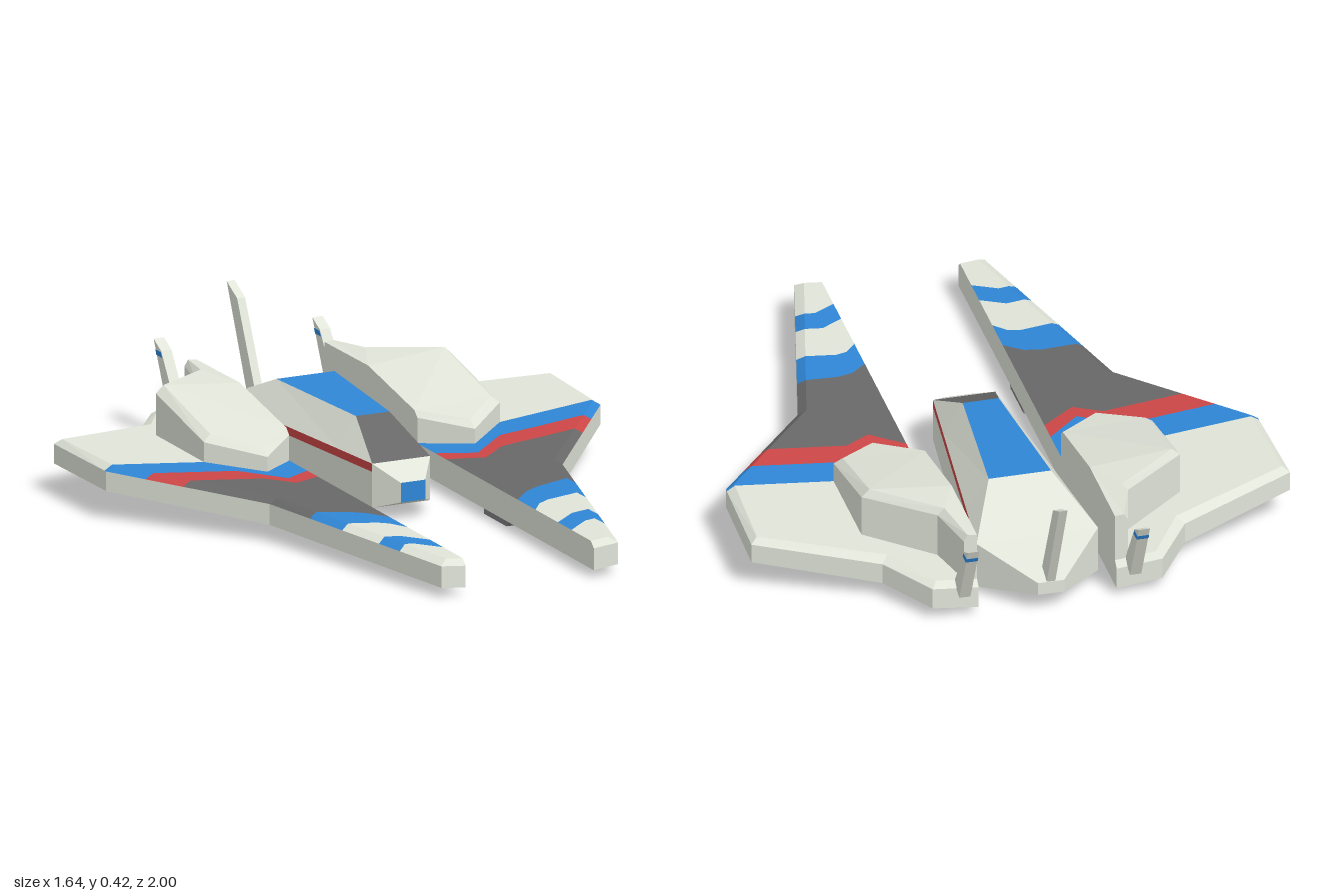
import * as THREE from 'three';

const flat = (name, color) => {
  const m = new THREE.MeshStandardMaterial({ color });
  m.name = name;
  return m;
};

export function createModel() {
  const model = new THREE.Group();
  model.name = 'spacecraft';
  const light = flat('light hull', 0xe0e4d8);
  const dark = flat('dark grey', 0x686868);
  const belly = flat('underside grey', 0x7c7c7c);
  const blue = flat('blue', 0x2f86d6);
  const red = flat('red', 0xcc4646);

  // Triangle list from convex polygons, wound anticlockwise seen from outside
  const fan = polys => polys.flatMap(p => p.slice(2).map((c, i) => [p[0], p[i + 1], c]));

  // Triangles of one near-horizontal polygon of any outline, facing up or down
  const sheet = (pts, up = true) => {
    const flatPts = pts.map(p => new THREE.Vector2(p[0], p[2]));
    return THREE.ShapeUtils.triangulateShape(flatPts, []).map(t => {
      const [a, b, c] = t.map(i => pts[i]);
      const ny = (b[2] - a[2]) * (c[0] - a[0]) - (b[0] - a[0]) * (c[2] - a[2]);
      return (ny > 0) === up ? [a, b, c] : [a, c, b];
    });
  };

  const addMesh = (name, mat, tris) => {
    const solid = tris.filter(([a, b, c]) => new THREE.Triangle(
      new THREE.Vector3(...a), new THREE.Vector3(...b), new THREE.Vector3(...c)).getArea() > 1e-7);
    const g = new THREE.BufferGeometry();
    g.setAttribute('position', new THREE.Float32BufferAttribute(solid.flat(2), 3));
    g.computeVertexNormals();
    const mesh = new THREE.Mesh(g, mat);
    mesh.name = name;
    model.add(mesh);
  };
  const mirrorTris = tris => tris.map(t => t.map(([x, y, z]) => [-x, y, z]).reverse());
  const addPair = (name, mat, tris) => {
    addMesh(name + 'Left', mat, tris);
    addMesh(name + 'Right', mat, mirrorTris(tris));
  };
  const walls = (low, high) => low.map((a, i) => {
    const j = (i + 1) % low.length;
    return [a, low[j], high[j], high[i]];
  });

  // ---- Wings: raised towards the tips, with a bevelled rim ----
  const IN = 0.21;
  const topY = x => 0.107 + 0.1 * (x - IN);
  const rimY = x => topY(x) - 0.018;
  const botY = x => 0.022 + 0.112 * (x - IN);
  const top = ([x, z]) => [x, topY(x), z];
  const rim = ([x, z]) => [x, rimY(x), z];
  const bot = ([x, z]) => [x, botY(x), z];

  // outer rim and inset top edge, from rear to front
  const edge = [
    { o: [0.35, -0.82], t: [0.335, -0.80] },
    { o: [0.46, -0.66], t: [0.44, -0.635] },
    { o: [0.82, -0.51], t: [0.80, -0.495] },
    { o: [0.81, -0.18], t: [0.785, -0.18] },
    { o: [0.48, 0.24], t: [0.455, 0.235] },
    { o: [0.29, 1.0], t: [0.265, 0.98] },
  ];
  const mix = (a, b, f) => a.map((v, i) => v + (b[i] - v) * f);
  const edgeAt = z => {
    const i = Math.max(1, edge.findIndex(e => e.t[1] >= z));
    const a = edge[i - 1], b = edge[i];
    const f = (z - a.t[1]) / (b.t[1] - a.t[1]);
    return { o: mix(a.o, b.o, f), t: mix(a.t, b.t, f) };
  };

  // paint borders: points from the inner edge, then z where the border meets the rim
  const borders = [
    { pts: [[IN, -0.80]], z: -0.80 },
    { pts: [[IN, -0.19]], z: -0.19 },
    { pts: [[IN, -0.06], [0.31, 0.02], [0.43, -0.08]], z: -0.08 },
    { pts: [[IN, 0.01], [0.31, 0.075], [0.39, 0.015]], z: 0.015 },
    { pts: [[IN, 0.49], [0.26, 0.44], [0.31, 0.42]], z: 0.41 },
    { pts: [[IN, 0.61], [0.245, 0.565], [0.28, 0.55]], z: 0.55 },
    { pts: [[IN, 0.76], [0.28, 0.71]], z: 0.71 },
    { pts: [[IN, 0.85], [0.28, 0.80]], z: 0.80 },
    { pts: [[IN, 0.98]], z: 0.98 },
  ];
  [light, blue, red, dark, blue, light, blue, light].forEach((mat, k) => {
    const a = borders[k], b = borders[k + 1];
    const run = [edgeAt(a.z), ...edge.filter(e => e.t[1] > a.z + 1e-6 && e.t[1] < b.z - 1e-6), edgeAt(b.z)];
    const outline = [...a.pts, ...run.map(e => e.t), ...[...b.pts].reverse()];
    const bevel = run.slice(1).map((f, i) => [rim(f.o), rim(run[i].o), top(run[i].t), top(f.t)]);
    addPair('wingBand' + (k + 1), mat, [...sheet(outline.map(top)), ...fan(bevel)]);
  });

  const back = edge[0], front = edge[edge.length - 1];
  const sides = edge.slice(1).map((f, i) => [bot(f.o), bot(edge[i].o), rim(edge[i].o), rim(f.o)]);
  addPair('wingSides', light, fan([
    ...sides,
    [bot(back.o), bot([IN, -0.82]), rim([IN, -0.82]), rim(back.o)],
    [rim(back.o), rim([IN, -0.82]), top([IN, -0.80]), top(back.t)],
    [bot([IN, 1]), bot(front.o), rim(front.o), rim([IN, 1])],
    [rim([IN, 1]), rim(front.o), top(front.t), top([IN, 0.98])],
    [bot([IN, -0.82]), bot([IN, 1]), rim([IN, 1]), top([IN, 0.98]), top([IN, -0.80]), rim([IN, -0.82])],
  ]));
  const split = edgeAt(-0.19).o;
  addPair('wingUndersideRear', light,
    sheet([[IN, -0.82], ...edge.slice(0, 3).map(e => e.o), split, [IN, split[1]]].map(bot), false));
  addPair('wingUndersideFront', belly,
    sheet([[IN, split[1]], split, ...edge.slice(3).map(e => e.o), [IN, 1]].map(bot), false));

  // ---- Engine pods: base, rim and roof rings running nose, outside, rear, inside ----
  const podRim = [
    [0.34, 0.165, -0.06], [0.485, 0.195, -0.19], [0.485, 0.262, -0.51], [0.29, 0.25, -0.65],
    [0.25, 0.24, -0.80], [IN, 0.24, -0.80], [IN, 0.24, -0.51], [IN, 0.185, -0.18],
  ];
  const podRoof = [
    [0.34, 0.187, -0.09], [0.46, 0.215, -0.20], [0.46, 0.285, -0.51], [0.27, 0.272, -0.65],
    [0.238, 0.26, -0.80], [IN, 0.257, -0.80], [IN, 0.26, -0.51], [IN, 0.203, -0.20],
  ];
  const podBase = podRim.map(([x, , z]) => [x, topY(x) - 0.01, z]);
  addPair('enginePod', light, [
    ...fan([...walls(podBase, podRim), ...walls(podRim, podRoof)]),
    ...sheet([0, 1, 2, 6, 7].map(i => podRoof[i])),
    ...sheet([2, 3, 4, 5, 6].map(i => podRoof[i])),
  ]);

  // ---- Fuselage: half sections [x, y] of floor, stripe foot, shoulder and roof ----
  const sections = [
    { z: 0.22, p: [[0.04, 0.06], [0.04, 0.11], [0.04, 0.12], [0.04, 0.12]] },
    { z: 0.14, p: [[0.095, 0.03], [0.095, 0.14], [0.095, 0.165], [0.095, 0.165]] },
    { z: -0.05, p: [[0.115, 0.025], [0.115, 0.14], [0.115, 0.165], [0.055, 0.257]] },
    { z: -0.50, p: [[0.163, 0.02], [0.163, 0.14], [0.163, 0.165], [0.095, 0.26]] },
    { z: -0.70, p: [[0.185, 0.02], [0.185, 0.14], [0.185, 0.165], [0.185, 0.165]] },
    { z: -0.86, p: [[0.04, 0.06], [0.04, 0.09], [0.04, 0.10], [0.04, 0.10]] },
  ];
  const at = (k, i, s = 1) => [s * sections[k].p[i][0], sections[k].p[i][1], sections[k].z];
  const roofMats = [light, dark, blue, light, light];
  const hull = [], stripe = [], floor = [];
  for (let k = 0; k < 5; k++) {
    for (let i = 0; i < 3; i++) {
      const quad = [at(k, i), at(k + 1, i), at(k + 1, i + 1), at(k, i + 1)];
      (i === 1 && k > 0 && k < 4 ? stripe : hull).push(quad);
    }
    floor.push([at(k, 0), at(k, 0, -1), at(k + 1, 0, -1), at(k + 1, 0)]);
    addMesh('fuselageRoof' + (k + 1), roofMats[k],
      fan([[at(k, 3, -1), at(k, 3), at(k + 1, 3), at(k + 1, 3, -1)]]));
  }
  addPair('fuselageSide', light, fan(hull));
  addPair('fuselageStripe', red, fan(stripe));
  addMesh('fuselageFloor', light, fan([...floor, [at(5, 0), at(5, 0, -1), at(5, 3, -1), at(5, 3)]]));
  addMesh('noseWindow', blue, fan([[at(0, 0, -1), at(0, 0), at(0, 3), at(0, 3, -1)]]));

  // ---- Belly plate joining the wings ----
  const extrude = (name, mat, pts, depth) => {
    const shape = new THREE.Shape(pts.map(p => new THREE.Vector2(...p)));
    const mesh = new THREE.Mesh(new THREE.ExtrudeGeometry(shape, { depth, bevelEnabled: false }), mat);
    mesh.name = name;
    model.add(mesh);
    return mesh;
  };
  extrude('bellyPlate', light, [[-0.355, 0.04], [-0.355, 0.012], [-IN, 0], [IN, 0],
    [0.355, 0.012], [0.355, 0.04], [IN, 0.025], [-IN, 0.025]], 0.325).position.z = -0.515;

  // ---- Swept tail fins: profile in z and y, extruded across x ----
  const fin = (name, mat, pts, x, w) => {
    const m = extrude(name, mat, pts.map(([z, y]) => [-z, y]), w);
    m.rotation.y = Math.PI / 2;
    m.position.x = x - w / 2;
  };
  fin('centreFin', light, [[-0.79, 0.09], [-0.85, 0.08], [-1.0, 0.42], [-0.93, 0.385]], 0, 0.026);
  for (const s of [-1, 1]) {
    fin('sideFin', light, [[-0.79, 0.10], [-0.85, 0.08], [-0.95, 0.29], [-0.90, 0.265]], s * 0.26, 0.034);
    // thin blue band near each side fin tip
    fin('finBand', blue, [[-0.892, 0.246], [-0.930, 0.246], [-0.937, 0.261], [-0.901, 0.261]], s * 0.26, 0.036);
    // landing skids under the wing prongs
    fin('skid', belly, [[0.26, 0.03], [0.26, 0.004], [0.41, 0.004], [0.43, 0.03]], s * 0.243, 0.06);
  }
  return model;
}
